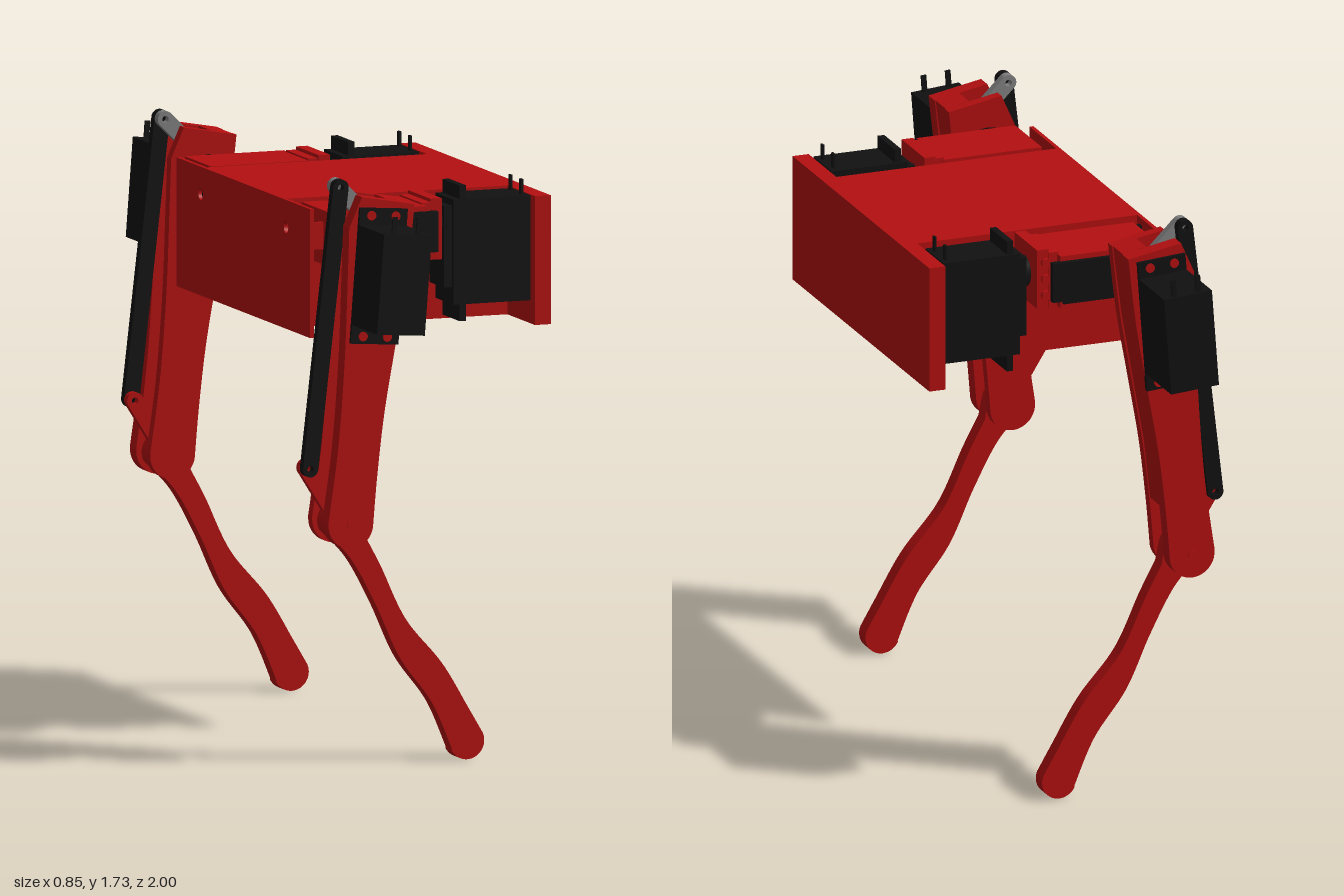
import * as THREE from 'three';

const red = new THREE.MeshStandardMaterial({ color: 0xb30f10 });
red.name = 'red plastic';
const black = new THREE.MeshStandardMaterial({ color: 0x111111 });
black.name = 'black plastic';
const grey = new THREE.MeshStandardMaterial({ color: 0x808080 });
grey.name = 'grey metal';

function add(parent, name, geo, mat, x = 0, y = 0, z = 0) {
  const m = new THREE.Mesh(geo, mat);
  m.name = name;
  m.position.set(x, y, z);
  parent.add(m);
  return m;
}

// Box given by its limits on each axis; order of the limits does not matter
function box(parent, name, mat, [x0, x1], [y0, y1], [z0, z1]) {
  const geo = new THREE.BoxGeometry(Math.abs(x1 - x0), Math.abs(y1 - y0), Math.abs(z1 - z0));
  return add(parent, name, geo, mat, (x0 + x1) / 2, (y0 + y1) / 2, (z0 + z1) / 2);
}

// Flat part extruded symmetrically about z
function slab(parent, name, mat, shape, depth, z) {
  const geo = new THREE.ExtrudeGeometry(shape, { depth, bevelEnabled: false, curveSegments: 16 });
  geo.translate(0, 0, -depth / 2);
  return add(parent, name, geo, mat, 0, 0, z);
}

const points = (list) => list.map(([x, y]) => new THREE.Vector2(x, y));

function hole(shape, x, y, r) {
  shape.holes.push(new THREE.Path().absarc(x, y, r, 0, Math.PI * 2, true));
}

// Round-ended bar between two points, with optional pin holes
function bar([ax, ay], [bx, by], r, pin = 0) {
  const t = Math.atan2(by - ay, bx - ax), q = Math.PI / 2;
  const s = new THREE.Shape();
  s.absarc(bx, by, r, t - q, t + q, false);
  s.absarc(ax, ay, r, t + q, t + 3 * q, false);
  s.closePath();
  if (pin) {
    hole(s, ax, ay, pin);
    hole(s, bx, by, pin);
  }
  return s;
}

const KNEE = [-0.305, 0.725], LEVER = [-0.405, 0.885], CRANK = [-0.31, 1.71];

// Side plate of the upper leg
function thighShape() {
  const s = new THREE.Shape();
  s.moveTo(-0.27, 1.69);
  s.lineTo(-0.31, 1.6);
  s.splineThru(points([[-0.315, 1.45], [-0.325, 1.2], [-0.345, 0.95], [-0.375, 0.735]]));
  s.absarc(KNEE[0], KNEE[1], 0.07, Math.PI, Math.PI * 2, false);
  s.splineThru(points([[-0.222, 0.87], [-0.2, 1.05], [-0.165, 1.25], [-0.13, 1.45], [-0.105, 1.66]]));
  s.closePath();
  return s;
}

// Filler between the two side plates, leaving a slot for the push rod
function thighCoreShape() {
  return new THREE.Shape(points([[-0.18, 1.675], [-0.19, 1.5], [-0.25, 1.2], [-0.28, 0.87],
    [-0.225, 0.87], [-0.205, 1.05], [-0.17, 1.25], [-0.135, 1.45], [-0.108, 1.66]]));
}

// Curved lower leg with a round foot
function shinShape() {
  const s = new THREE.Shape();
  s.absarc(KNEE[0], KNEE[1], 0.06, 0.3, 3.6, false);
  s.splineThru(points([[-0.276, 0.61], [-0.2, 0.473], [-0.125, 0.313], [-0.025, 0.176], [0.038, 0.035]]));
  s.absarc(0.085, 0.056, 0.054, 3.6, Math.PI * 2 + 0.4, false);
  s.splineThru(points([[0.09, 0.153], [0.007, 0.29], [-0.107, 0.427], [-0.185, 0.587], [-0.235, 0.68]]));
  s.closePath();
  return s;
}

function makeChassis() {
  const g = new THREE.Group();
  g.name = 'chassis';
  box(g, 'endPlate', red, [0.37, 0.42], [1.24, 1.62], [-0.54, 0.54]);
  box(g, 'topPanel', red, [-0.32, 0.37], [1.605, 1.62], [-0.32, 0.32]);
  for (const s of [-1, 1]) box(g, 'sideWall', red, [-0.32, 0.37], [1.24, 1.605], [s * 0.31, s * 0.32]);
  // Thin rear wall with cable holes
  const wall = new THREE.Shape(points([[-0.53, 1.24], [0.53, 1.24], [0.53, 1.62], [-0.53, 1.62]]));
  for (const s of [-1, 1]) hole(wall, s * 0.34, 1.54, 0.018);
  const m = slab(g, 'rearWall', red, wall, 0.012, 0);
  m.rotation.y = Math.PI / 2;
  m.position.x = -0.325;
  return g;
}

// Swinging hip joint: roll servo, coupling and boxed hip servo
function makeHip(s) {
  const g = new THREE.Group();
  g.name = 'hip';
  const zs = (a, b) => [s * a, s * b];
  box(g, 'rollServo', black, [0.125, 0.365], [1.31, 1.62], zs(0.37, 0.515));
  box(g, 'rollServoFlange', black, [0.145, 0.165], [1.26, 1.66], zs(0.375, 0.51));
  box(g, 'rollServoNeck', black, [0.1, 0.125], [1.36, 1.6], zs(0.385, 0.5));
  for (const z of [0.4, 0.485]) box(g, 'servoPin', black, [0.345, 0.352], [1.61, 1.665], zs(z - 0.008, z + 0.008));
  const shaft = add(g, 'rollShaft', new THREE.CylinderGeometry(0.035, 0.06, 0.05, 20), black, 0.085, 1.54, s * 0.442);
  shaft.rotation.z = Math.PI / 2;
  // Coupling between roll servo and hip housing
  box(g, 'coupling', red, [0.015, 0.045], [1.45, 1.62], zs(0.365, 0.54));
  box(g, 'couplingRim', red, [0.045, 0.08], [1.45, 1.63], zs(0.355, 0.535));
  for (const y of [1.49, 1.54, 1.59]) {
    const bolt = add(g, 'couplingBolt', new THREE.CylinderGeometry(0.014, 0.014, 0.012, 12), red, 0.055, y, s * 0.54);
    bolt.rotation.x = Math.PI / 2;
  }
  // Hip housing around the servo
  box(g, 'hipServo', black, [-0.27, 0.015], [1.47, 1.6], zs(0.345, 0.58));
  box(g, 'hipServoFlange', black, [-0.32, 0.01], [1.475, 1.6], zs(0.342, 0.358));
  box(g, 'housingTop', red, [-0.29, 0.02], [1.595, 1.615], zs(0.36, 0.57));
  box(g, 'housingBottom', red, [-0.29, 0.02], [1.455, 1.475], zs(0.36, 0.57));
  box(g, 'housingEnd', red, [-0.29, -0.265], [1.46, 1.61], zs(0.36, 0.57));
  box(g, 'housingEnd', red, [0, 0.02], [1.46, 1.61], zs(0.36, 0.57));
  for (const z of [0.39, 0.52]) box(g, 'rearBracket', red, [-0.325, -0.28], [1.5, 1.58], zs(z, z + 0.012));
  box(g, 'hipServoFace', black, [-0.27, 0.05], [1.48, 1.6], zs(0.565, 0.585));
  // Output shaft into the leg
  const out = add(g, 'hipShaft', new THREE.CylinderGeometry(0.045, 0.075, 0.035, 24), black, -0.21, 1.54, s * 0.6);
  out.rotation.x = s * Math.PI / 2;
  const horn = add(g, 'hipHorn', new THREE.CylinderGeometry(0.055, 0.055, 0.02, 24), black, -0.21, 1.54, s * 0.622);
  horn.rotation.x = Math.PI / 2;
  return g;
}

// Knee servo on the outer face of the leg
function makeKneeServo(s) {
  const g = new THREE.Group();
  g.name = 'kneeServo';
  g.position.set(-0.22, 1.455, 0);
  g.rotation.z = -0.075;
  const zs = (a, b) => [s * a, s * b];
  box(g, 'servoBody', black, [-0.075, 0.075], [-0.145, 0.15], zs(0.79, 1));
  box(g, 'servoFlange', black, [-0.075, 0.075], [-0.2, 0.2], zs(0.785, 0.8));
  for (const x of [-0.038, 0.038]) {
    for (const y of [-0.178, 0.178]) {
      const hub = add(g, 'flangeScrew', new THREE.CylinderGeometry(0.014, 0.014, 0.006, 14), red, x, y, s * 0.801);
      hub.rotation.x = Math.PI / 2;
    }
    box(g, 'servoPin', black, [x - 0.008, x + 0.008], [0.14, 0.2], zs(0.983, 0.989));
  }
  return g;
}

function makeLeg(s) {
  const g = new THREE.Group();
  g.name = 'leg';
  slab(g, 'outerThighPlate', red, thighShape(), 0.05, s * 0.765);
  slab(g, 'innerThighPlate', red, thighShape(), 0.032, s * 0.644);
  slab(g, 'thighCore', red, thighCoreShape(), 0.082, s * 0.7);
  const pin = add(g, 'kneePin', new THREE.CylinderGeometry(0.013, 0.013, 0.165, 16), red, KNEE[0], KNEE[1], s * 0.71);
  pin.rotation.x = Math.PI / 2;
  slab(g, 'shin', red, shinShape(), 0.05, s * 0.698);
  // Push-rod linkage
  slab(g, 'kneeLever', red, bar(KNEE, LEVER, 0.025, 0.01), 0.025, s * 0.685);
  slab(g, 'pushRod', black, bar(LEVER, CRANK, 0.024, 0.01), 0.026, s * 0.711);
  slab(g, 'servoCrank', grey, bar([-0.2, 1.6], CRANK, 0.024, 0.01), 0.025, s * 0.685);
  g.add(makeKneeServo(s));
  return g;
}

export function createModel() {
  const model = new THREE.Group();
  model.name = 'leggedRobot';
  model.add(makeChassis());
  for (const s of [-1, 1]) model.add(makeHip(s), makeLeg(s));
  return model;
}
